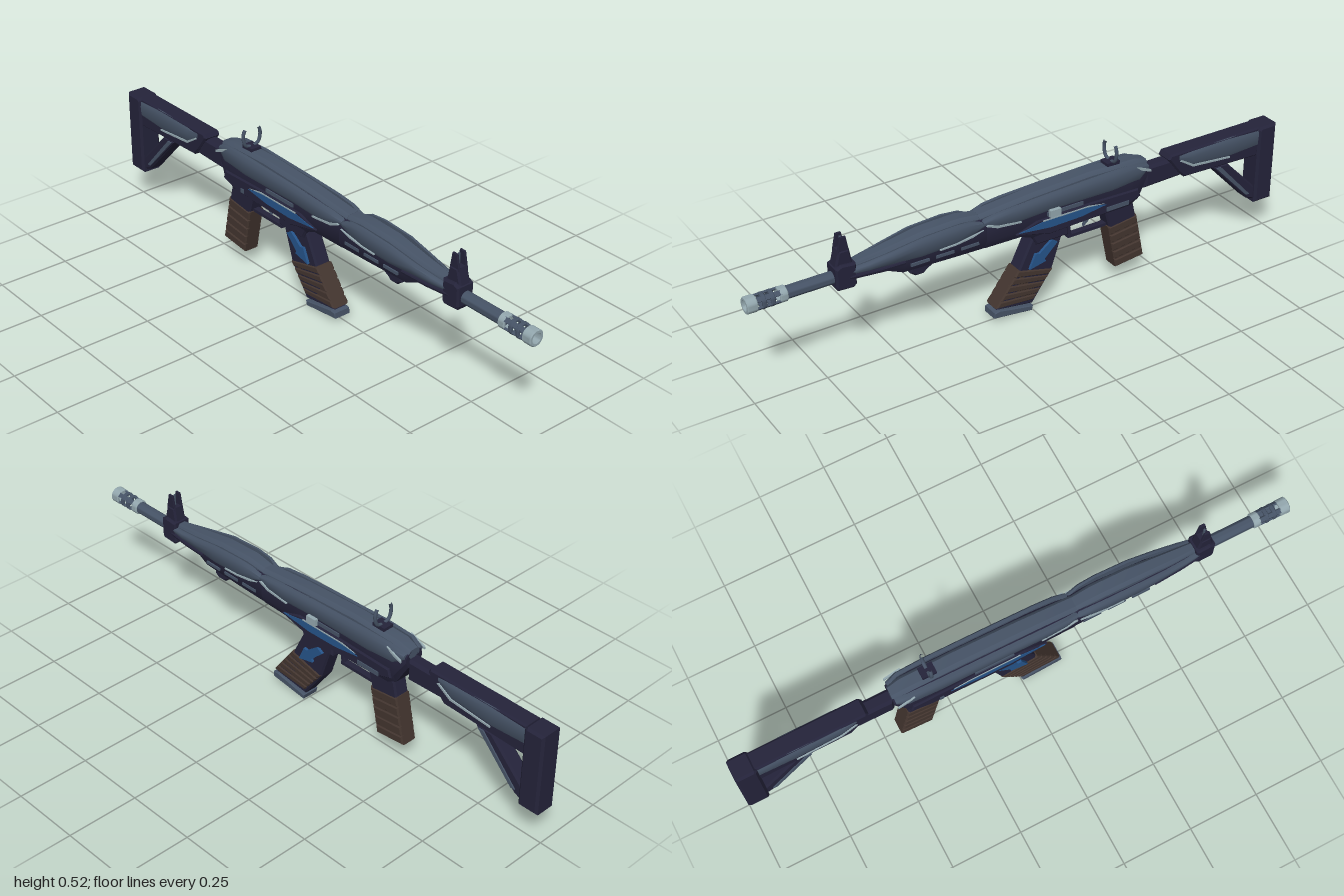
import * as THREE from 'three';
import { toCreasedNormals } from 'three/addons/utils/BufferGeometryUtils.js';

const mat = (name, color) => {
  const m = new THREE.MeshStandardMaterial({ color });
  m.name = name;
  return m;
};

export function createModel() {
  const navy = mat('navy', 0x24233a), steel = mat('steel', 0x465366), light = mat('paleMetal', 0x93a7ae);
  const brown = mat('brownWrap', 0x43352f), blue = mat('bluePaint', 0x25548a);
  const root = new THREE.Group();
  root.name = 'rifle';
  root.position.z = 0.005;

  const add = (name, geo, m, x = 0, y = 0, z = 0) => {
    const mesh = new THREE.Mesh(geo, m);
    mesh.name = name;
    mesh.position.set(x, y, z);
    root.add(mesh);
    return mesh;
  };
  const box = (name, x0, x1, y0, y1, w, m, z = 0) =>
    add(name, new THREE.BoxGeometry(x1 - x0, y1 - y0, w), m, (x0 + x1) / 2, (y0 + y1) / 2, z);

  // Side profile in x,y extruded to width w, with a small chamfer
  const slab = (name, pts, w, m, z = 0, b = 0.006) => {
    const shape = new THREE.Shape(pts.map(p => new THREE.Vector2(...p)));
    const geo = new THREE.ExtrudeGeometry(shape, {
      depth: w - 2 * b, bevelEnabled: b > 0, bevelThickness: b, bevelSize: b, bevelOffset: -b, bevelSegments: 1,
    });
    geo.translate(0, 0, -(w - 2 * b) / 2);
    return add(name, geo, m, 0, 0, z);
  };
  const both = fn => [1, -1].forEach(fn);

  // Skin over cross-sections [x, [[z, y], ...]], listed from the top towards +z
  const loft = (name, sections, m, crease = 0.5) => {
    const n = sections[0][1].length, pos = [], idx = [];
    for (const [x, pts] of sections) for (const [z, y] of pts) pos.push(x, y, z);
    for (let s = 0; s < sections.length - 1; s++)
      for (let j = 0; j < n; j++) {
        const a = s * n + j, b = s * n + (j + 1) % n;
        idx.push(a, b, a + n, b, b + n, a + n);
      }
    const e = (sections.length - 1) * n;
    for (let j = 1; j < n - 1; j++) idx.push(0, j + 1, j, e, e + j, e + j + 1);
    const geo = new THREE.BufferGeometry();
    geo.setAttribute('position', new THREE.Float32BufferAttribute(pos, 3));
    geo.setIndex(idx);
    return add(name, toCreasedNormals(geo, crease), m);
  };
  // Symmetric body from rows [x, top, bottom, half width]
  const body = (name, rows, m, topW = 0.4, drop = 0.03, lowW = 0.7) => loft(name, rows.map(([x, t, b, w]) => {
    const d = Math.min(drop, (t - b) * 0.4);
    const h = [[w * topW, t], [w * 0.85, t - d * 0.5], [w, t - d], [w, b + d], [w * lowW, b]];
    return [x, [...h, ...h.map(([z, y]) => [-z, y]).reverse()]];
  }), m);
  // Mirrored side panel from rows [x, top, bottom, outer z]
  const panels = (name, rows, m, thick = 0.02) => both(s => loft(name, rows.map(([x, t, b, z]) => {
    const h = t - b, i = z - thick;
    const p = [[i, t], [z - 0.008, t], [z - 0.002, t - h * 0.15], [z, t - h * 0.4], [z - 0.002, b + h * 0.2], [z - 0.008, b], [i, b]];
    return [x, s > 0 ? p : p.map(([q, y]) => [-q, y]).reverse()];
  }), m, 0.7));
  // Turned part along the x axis, profile of [radius, x]
  const turned = (name, pts, m, y = 0.355) => {
    const geo = new THREE.LatheGeometry(pts.map(p => new THREE.Vector2(...p)), 24);
    const mesh = add(name, toCreasedNormals(geo, 0.6), m, 0, y, 0);
    mesh.rotation.z = -Math.PI / 2;
    return mesh;
  };

  // Stock
  slab('buttPad', [[-1, 0.125], [-0.925, 0.125], [-0.925, 0.41], [-0.935, 0.42], [-1, 0.42]], 0.08, navy, 0, 0.008);
  slab('stockBody', [[-0.93, 0.31], [-0.61, 0.32], [-0.585, 0.345], [-0.54, 0.405], [-0.55, 0.42], [-0.93, 0.42]], 0.064, navy);
  panels('stockPanel', [[-0.925, 0.415, 0.345, 0.036], [-0.8, 0.417, 0.342, 0.038], [-0.64, 0.415, 0.355, 0.038], [-0.585, 0.412, 0.39, 0.034]], steel, 0.012);
  both(s => slab('stockPanelTrim', [[-0.8, 0.342], [-0.64, 0.355], [-0.585, 0.39], [-0.592, 0.393], [-0.644, 0.362], [-0.8, 0.348]], 0.004, light, s * 0.037, 0));
  slab('stockStrut', [[-0.93, 0.135], [-0.9, 0.145], [-0.735, 0.315], [-0.8, 0.315], [-0.93, 0.185]], 0.055, navy);
  both(s => slab('strutTrim', [[-0.905, 0.165], [-0.89, 0.165], [-0.75, 0.31], [-0.77, 0.31]], 0.006, steel, s * 0.029, 0));
  slab('stockTube', [[-0.62, 0.325], [-0.45, 0.32], [-0.45, 0.4], [-0.62, 0.4]], 0.05, navy, 0, 0.01);

  // Receiver
  body('receiver', [[-0.455, 0.425, 0.37, 0.036], [-0.415, 0.435, 0.3, 0.047], [-0.38, 0.44, 0.283, 0.049],
    [0.0, 0.43, 0.28, 0.049], [0.05, 0.428, 0.3, 0.049], [0.185, 0.415, 0.302, 0.047]], navy);
  body('topCover', [[-0.455, 0.43, 0.4, 0.024], [-0.41, 0.445, 0.41, 0.03], [-0.22, 0.45, 0.41, 0.03],
    [0.0, 0.44, 0.4, 0.03], [0.2, 0.422, 0.39, 0.028]], steel, 0.6, 0.012);
  panels('receiverPanel', [[-0.45, 0.42, 0.402, 0.042], [-0.41, 0.436, 0.375, 0.053], [-0.3, 0.438, 0.37, 0.056],
    [-0.05, 0.43, 0.373, 0.056], [0.08, 0.424, 0.367, 0.056], [0.15, 0.418, 0.375, 0.054], [0.195, 0.405, 0.39, 0.047]], steel);
  both(s => {
    slab('receiverPanelTrim', [[0.06, 0.366], [0.15, 0.375], [0.19, 0.392], [0.183, 0.395], [0.145, 0.382], [0.06, 0.371]], 0.006, light, s * 0.052, 0);
    slab('rearTrim', [[-0.45, 0.4], [-0.41, 0.416], [-0.39, 0.432], [-0.41, 0.425], [-0.45, 0.408]], 0.006, light, s * 0.053, 0);
    // Painted blade shapes below the ejection port
    slab('sideBlade', [[-0.41, 0.32], [-0.34, 0.298], [-0.05, 0.29], [0.08, 0.325], [0.0, 0.352], [-0.2, 0.355], [-0.4, 0.35]], 0.012, navy, s * 0.05, 0.004);
    slab('blueBlade', [[-0.27, 0.332], [-0.17, 0.318], [-0.05, 0.316], [0.07, 0.33], [-0.02, 0.345], [-0.2, 0.345]], 0.004, blue, s * 0.056, 0);
    slab('bladeTrim', [[-0.26, 0.338], [-0.19, 0.345], [-0.02, 0.345], [-0.02, 0.349], [-0.2, 0.349]], 0.004, light, s * 0.0565, 0);
    box('portCover', -0.18, -0.04, 0.357, 0.37, 0.006, steel, s * 0.05);
    box('pin', -0.31, -0.295, 0.305, 0.32, 0.004, steel, s * 0.057);
  });
  box('chargingHandle', -0.085, -0.045, 0.355, 0.38, 0.014, light, -0.058);
  box('handleStem', -0.075, -0.055, 0.36, 0.374, 0.03, steel, -0.045);
  box('selector', -0.36, -0.27, 0.305, 0.32, 0.006, steel, -0.056);

  // Handguard
  body('handguardCore', [[0.18, 0.415, 0.302, 0.045], [0.3, 0.415, 0.305, 0.045], [0.48, 0.4, 0.31, 0.042],
    [0.53, 0.39, 0.33, 0.035], [0.65, 0.38, 0.335, 0.022]], navy);
  body('handguardTop', [[0.19, 0.42, 0.39, 0.026], [0.27, 0.432, 0.39, 0.03], [0.4, 0.428, 0.38, 0.03],
    [0.55, 0.405, 0.37, 0.024], [0.66, 0.392, 0.365, 0.018]], steel, 0.6, 0.012);
  panels('handguardPanel', [[0.19, 0.4, 0.385, 0.045], [0.24, 0.42, 0.37, 0.053], [0.3, 0.424, 0.362, 0.056],
    [0.42, 0.418, 0.357, 0.055], [0.52, 0.4, 0.36, 0.049], [0.6, 0.387, 0.358, 0.041], [0.66, 0.378, 0.36, 0.032]], steel, 0.016);
  panels('handguardRail', [[0.48, 0.362, 0.345, 0.05], [0.58, 0.36, 0.343, 0.043], [0.69, 0.362, 0.345, 0.031]], navy, 0.012);
  both(s => {
    for (let i = 0; i < 3; i++) box('ventSlot', 0.215 + i * 0.09, 0.28 + i * 0.09, 0.332, 0.342, 0.006, steel, s * 0.045);
    slab('handguardTrim', [[0.2, 0.383], [0.24, 0.37], [0.3, 0.362], [0.36, 0.36], [0.36, 0.364], [0.3, 0.367], [0.24, 0.376]], 0.006, light, s * 0.052, 0);
  });
  slab('lowerLatch', [[0.34, 0.315], [0.39, 0.285], [0.4, 0.275], [0.43, 0.275], [0.45, 0.29], [0.45, 0.315]], 0.045, navy);

  // Barrel and slotted muzzle
  turned('barrel', [[0, 0.5], [0.021, 0.5], [0.021, 0.875], [0, 0.875]], steel);
  const ring = (name, x0, x1, r, m, ri = 0.018) => turned(name, [[ri, x0], [r - 0.003, x0], [r, x0 + 0.003], [r, x1 - 0.003], [r - 0.003, x1], [ri, x1], [ri, x0]], m);
  ring('muzzleCollar', 0.865, 0.892, 0.026, light);
  [0.908, 0.936].forEach(x => ring('muzzleRib', x, x + 0.014, 0.027, steel));
  ring('muzzleTip', 0.965, 1, 0.028, light);
  for (let i = 0; i < 4; i++) {
    const a = Math.PI / 4 + i * Math.PI / 2;
    const bar = add('muzzleBar', new THREE.BoxGeometry(0.09, 0.007, 0.016), steel, 0.93, 0.355 + 0.0215 * Math.sin(a), 0.0215 * Math.cos(a));
    bar.rotation.x = Math.PI / 2 - a;
  }

  // Front sight
  slab('frontSightBase', [[0.64, 0.325], [0.65, 0.315], [0.705, 0.318], [0.71, 0.33], [0.71, 0.395], [0.69, 0.405], [0.64, 0.4]], 0.066, navy);
  slab('frontSightPedestal', [[0.645, 0.39], [0.708, 0.39], [0.692, 0.45], [0.655, 0.45]], 0.044, navy);
  both(s => slab('frontSightEar', [[0.655, 0.44], [0.695, 0.44], [0.683, 0.495], [0.664, 0.495]], 0.008, navy, s * 0.015, 0.001));
  add('frontSightPost', new THREE.CylinderGeometry(0.004, 0.004, 0.05, 8), steel, 0.674, 0.465);

  // Rear horseshoe sight
  box('rearSightBase', -0.345, -0.295, 0.44, 0.458, 0.04, navy);
  both(s => {
    const pts = [[0.008, 0.456], [0.026, 0.464], [0.035, 0.49], [0.033, 0.51], [0.027, 0.521]];
    const geo = new THREE.TubeGeometry(new THREE.CatmullRomCurve3(pts.map(([z, y]) => new THREE.Vector3(-0.32, y, s * z))), 14, 0.006, 8);
    add('rearSightArm', geo, steel);
  });

  // Wrapped bands between a top edge and a bottom edge of a handle
  const mix = (a, b, t) => [a[0] + (b[0] - a[0]) * t, a[1] + (b[1] - a[1]) * t];
  const wrap = (name, [tl, tr, br, bl], count, w) => {
    slab(name + 'Core', [bl, br, tr, tl], w - 0.008, brown);
    for (let i = 0; i < count; i++) {
      const a = i / count + 0.008, b = (i + 1) / count - 0.008;
      slab(name + 'Band', [mix(tl, bl, b), mix(tr, br, b), mix(tr, br, a), mix(tl, bl, a)], w, brown, 0, 0.005);
    }
  };

  // Grip
  slab('gripNeck', [[-0.42, 0.2], [-0.31, 0.2], [-0.285, 0.29], [-0.4, 0.29]], 0.056, navy);
  wrap('gripWrap', [[-0.415, 0.235], [-0.3, 0.22], [-0.335, 0.052], [-0.45, 0.064]], 5, 0.062);
  slab('gripCap', [[-0.44, 0.06], [-0.345, 0.05], [-0.34, 0.07], [-0.44, 0.08]], 0.054, navy);

  // Trigger and guard
  slab('guardFront', [[-0.15, 0.225], [-0.14, 0.29], [-0.155, 0.29], [-0.165, 0.225]], 0.02, navy, 0, 0.002);
  box('guardBottom', -0.31, -0.15, 0.218, 0.229, 0.022, navy);
  slab('trigger', [[-0.245, 0.285], [-0.235, 0.255], [-0.215, 0.24], [-0.22, 0.26], [-0.222, 0.285]], 0.012, steel, 0, 0.002);

  // Magazine
  slab('magazineWell', [[-0.135, 0.25], [-0.01, 0.25], [0.015, 0.3], [-0.135, 0.3]], 0.074, navy);
  slab('magazine', [[-0.125, 0.28], [-0.075, 0.13], [0.0, 0.025], [0.14, 0.045], [0.055, 0.168], [0.0, 0.28]], 0.058, navy);
  wrap('magazineWrap', [[-0.077, 0.138], [0.057, 0.172], [0.145, 0.052], [0.0, 0.04]], 5, 0.066);
  slab('magazineFoot', [[0.0, 0.018], [0.005, 0], [0.152, 0.018], [0.15, 0.038], [0.13, 0.042]], 0.064, steel, 0, 0.003);
  both(s => slab('magazineArrow', [[-0.09, 0.238], [-0.068, 0.252], [-0.045, 0.235], [-0.02, 0.215], [-0.005, 0.218], [0.018, 0.166],
    [-0.045, 0.18], [-0.04, 0.19], [-0.062, 0.212]], 0.018, blue, s * 0.0295, 0));

  return root;
}
